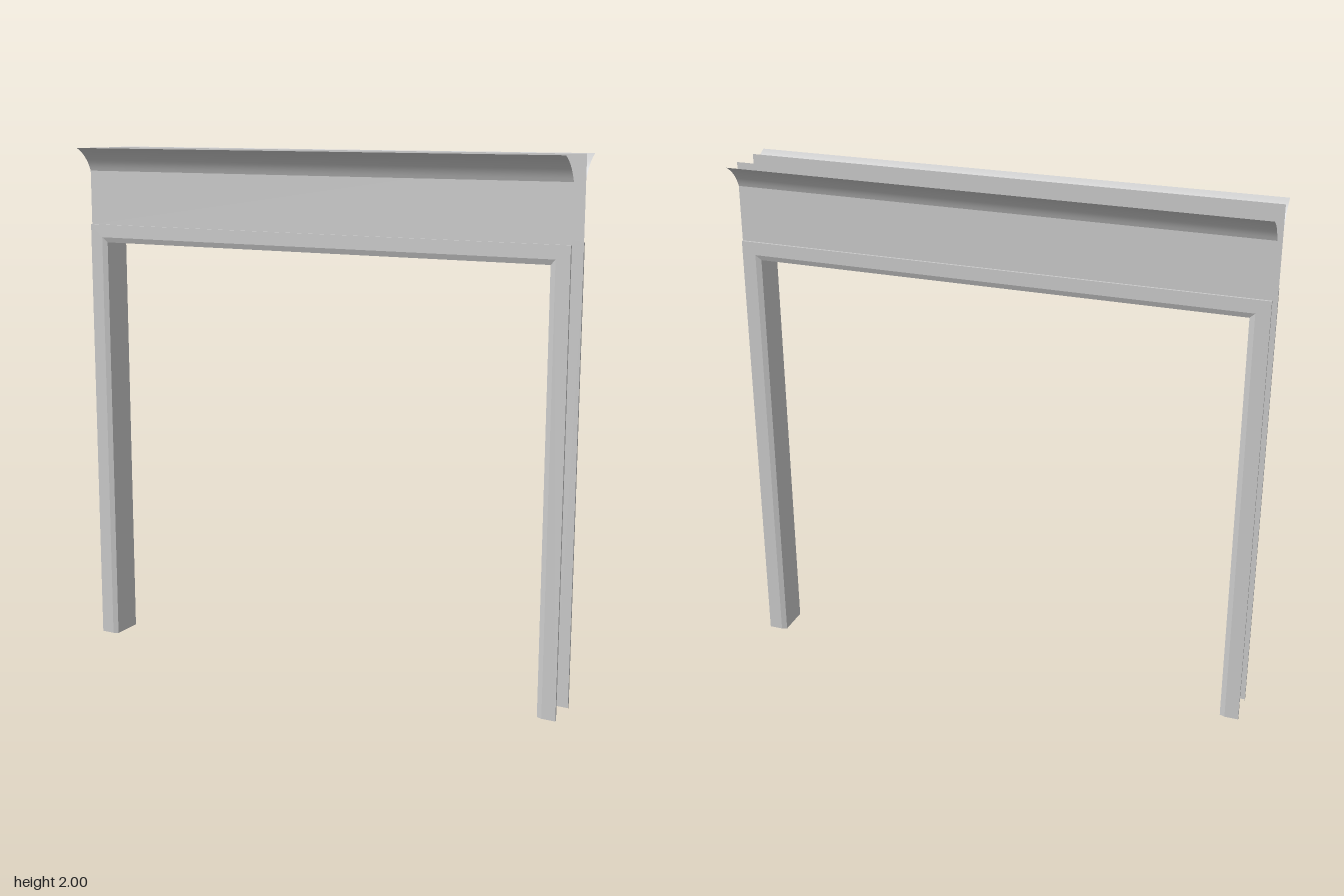
import * as THREE from 'three';

const HALF_W = 1, OPEN_X = 0.927, OPEN_Y = 1.63;
const FACE_Z = 0.07, WALL_Z = 0.062;
const CASING_TOP = 1.7, COVE_Y = 1.91, TOP_Y = 2, TIP_Z = 0.147;

// Open sheet through equally long rows of [x, y, z] points
function sheet(name, rows, flat = true) {
  const n = rows[0].length, index = [];
  for (let i = 0; i < rows.length - 1; i++) {
    for (let j = 0; j < n - 1; j++) {
      const a = i * n + j, b = a + n;
      index.push(a, b, a + 1, b, b + 1, a + 1);
    }
  }
  let geo = new THREE.BufferGeometry();
  geo.setAttribute('position', new THREE.Float32BufferAttribute(rows.flat(2), 3));
  geo.setIndex(index);
  if (flat) geo = geo.toNonIndexed();
  geo.computeVertexNormals();
  const mesh = new THREE.Mesh(geo, new THREE.MeshStandardMaterial({
    color: 0xcccccc, side: THREE.DoubleSide, flatShading: flat,
  }));
  mesh.name = name;
  return mesh;
}

// Mitred path around the opening, d outward from its edge
function framePath(d, z) {
  const x = OPEN_X + d, y = OPEN_Y + Math.min(d, CASING_TOP - OPEN_Y);
  return [[-x, 0, z], [-x, y, z], [x, y, z], [x, 0, z]];
}

// Level line across the full width
const span = (y, z) => [[-HALF_W, y, z], [HALF_W, y, z]];

// Everything on one face of the wall
function createSide(name) {
  const side = new THREE.Group();
  side.name = name;

  // Casing: bevelled inner edge, flat face, outer return
  const profile = [[HALF_W - OPEN_X, WALL_Z], [HALF_W - OPEN_X, FACE_Z], [0.02, FACE_Z], [0, WALL_Z]];
  side.add(sheet('casing', profile.map(([d, z]) => framePath(d, z))));

  // Frieze board, running up behind the crown
  side.add(sheet('frieze', [span(TOP_Y, WALL_Z), span(CASING_TOP, WALL_Z)]));

  // Crown: concave cove flaring out to the tip
  const cove = new THREE.QuadraticBezierCurve(
    new THREE.Vector2(TIP_Z, TOP_Y),
    new THREE.Vector2(0.085, 1.97),
    new THREE.Vector2(WALL_Z, COVE_Y),
  );
  side.add(sheet('crown', cove.getPoints(10).map((p) => span(p.y, p.x)), false));
  return side;
}

export function createModel() {
  const model = new THREE.Group();
  model.name = 'doorFrame';

  // Jamb and head lining through the wall
  model.add(sheet('lining', [framePath(0, WALL_Z), framePath(0, -WALL_Z)]));

  const front = createSide('frontTrim');
  const back = createSide('backTrim');
  back.rotation.y = Math.PI;
  model.add(front, back);
  return model;
}
